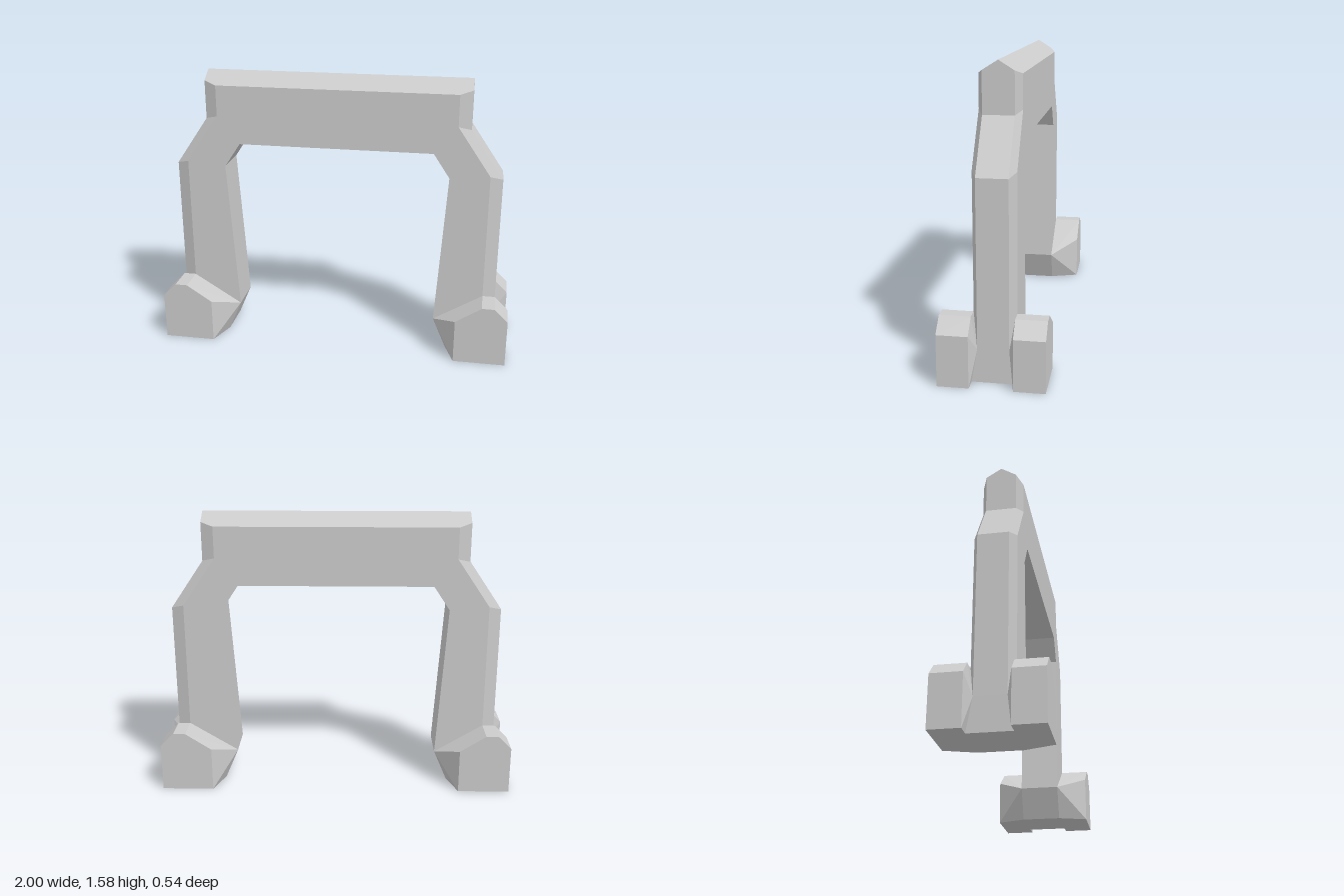
import * as THREE from 'three';
import { ConvexGeometry } from 'three/addons/geometries/ConvexGeometry.js';

const material = new THREE.MeshStandardMaterial({ color: 0xcccccc, flatShading: true });
const HALF = 0.11; // half thickness of the arch

// Half outline, counter-clockwise: rim x, y, z, then x, y of the flat face (same as rim if omitted)
const halfOutline = [
  [0.545, 1.175, HALF],
  [0.635, 1.04, HALF],
  [0.58, 0.175, HALF],
  [0.655, 0, HALF],
  [0.925, 0, HALF],
  [0.925, 0.175, 0.08, 0.855, 0.175],
  [0.925, 1.04, 0.08, 0.855, 1.06],
  [0.74, 1.31, 0.08, 0.67, 1.33],
  [0.74, 1.525, 0.08, 0.67, 1.505],
  [0.74, 1.575, 0, 0.67, 1.505], // end of the roof ridge
].map(([x, y, z, fx = x, fy = y]) => ({ x, y, z, fx, fy }));

// Arch: flat front and back faces joined through a chamfered rim and a ridged top
function archGeometry() {
  const mirrored = halfOutline.map((p) => ({ ...p, x: -p.x, fx: -p.fx })).reverse();
  const outline = [...halfOutline, ...mirrored];
  const rings = [
    outline.map((p) => new THREE.Vector3(p.fx, p.fy, HALF)),
    outline.map((p) => new THREE.Vector3(p.x, p.y, p.z)),
    outline.map((p) => new THREE.Vector3(p.x, p.y, -p.z)),
    outline.map((p) => new THREE.Vector3(p.fx, p.fy, -HALF)),
  ];
  const points = [];
  const addTriangle = (a, b, c) => {
    if (new THREE.Triangle(a, b, c).getArea() > 1e-6) points.push(a, b, c);
  };
  const [front, , , back] = rings;
  const flat = outline.map((p) => new THREE.Vector2(p.fx, p.fy));
  for (const [a, b, c] of THREE.ShapeUtils.triangulateShape(flat, [])) {
    addTriangle(front[a], front[b], front[c]);
    addTriangle(back[a], back[c], back[b]);
  }
  for (let r = 0; r < 3; r++) {
    for (let i = 0; i < outline.length; i++) {
      const j = (i + 1) % outline.length;
      const a = rings[r], b = rings[r + 1];
      addTriangle(a[i], b[i], a[j]);
      addTriangle(a[j], b[i], b[j]);
    }
  }
  const geometry = new THREE.BufferGeometry().setFromPoints(points);
  geometry.computeVertexNormals();
  return geometry;
}

// Foot block: tapers from the leg to its end face, with a small bulge filling the leg's chamfer
function footGeometry(sx, sz) {
  const shared = [[1, 0], [1, 0.27], [0.925, 0.345], [0.855, 0.345]];
  const endFace = [...shared, [0.71, 0], [0.71, 0.25]];
  const legFace = [...shared, [0.655, 0], [0.58, 0.175]];
  const corners = [
    ...endFace.map(([x, y]) => [x, y, 0.27]),
    ...legFace.map(([x, y]) => [x, y, HALF]),
    [0.925, 0.175, 0.08],
  ];
  return new ConvexGeometry(corners.map(([x, y, z]) => new THREE.Vector3(sx * x, y, sz * z)));
}

export function createModel() {
  const model = new THREE.Group();
  model.name = 'archway';
  const add = (name, geometry) => {
    const mesh = new THREE.Mesh(geometry, material);
    mesh.name = name;
    model.add(mesh);
  };
  add('arch', archGeometry());
  for (const [side, sx] of [['left', 1], ['right', -1]]) {
    for (const [end, sz] of [['Front', 1], ['Back', -1]]) {
      add(`${side}${end}Foot`, footGeometry(sx, sz));
    }
  }
  return model;
}
